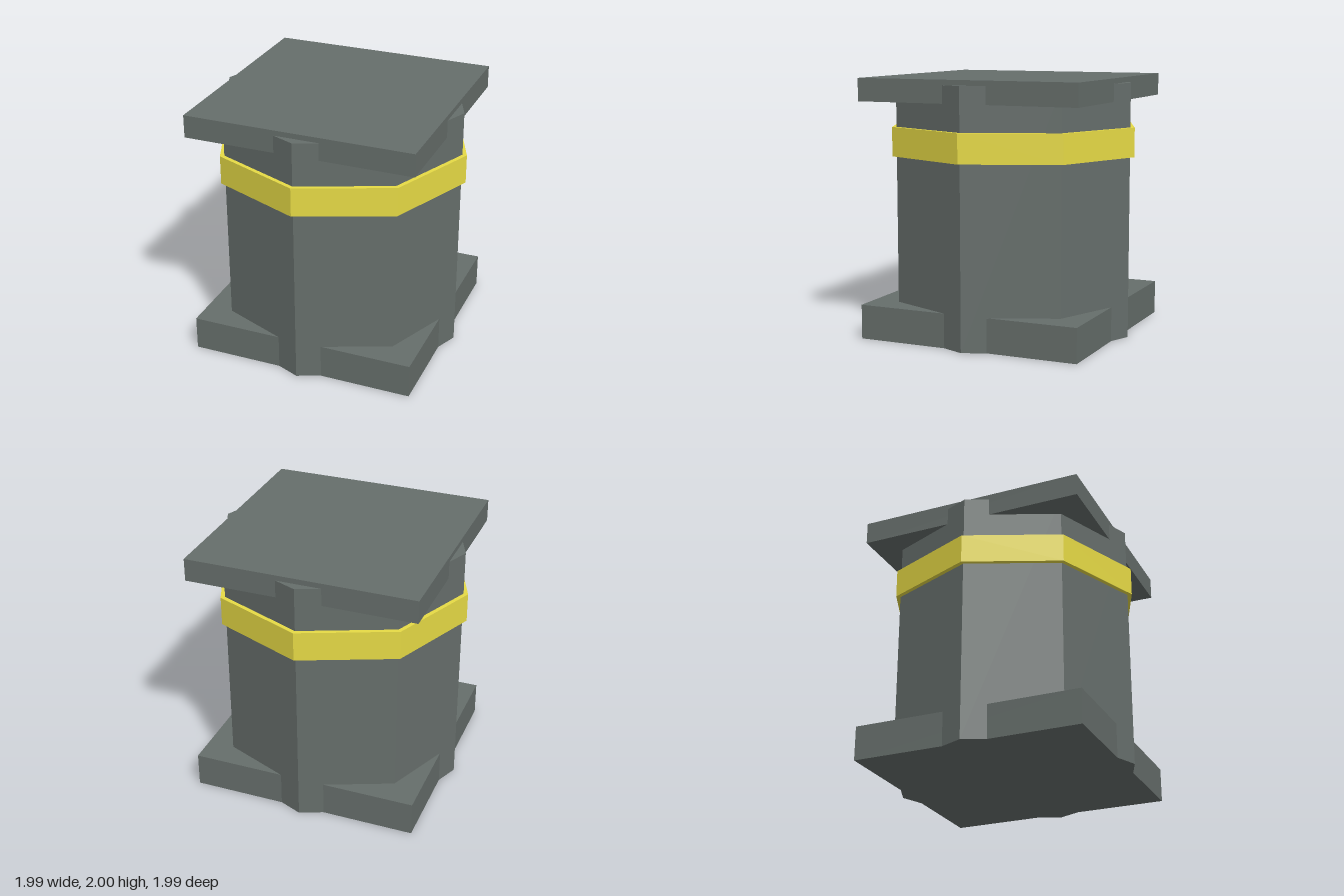
import * as THREE from 'three';

const SIDES = 8;
const stone = new THREE.MeshStandardMaterial({ color: 0x666e6b, flatShading: true });
const yellow = new THREE.MeshStandardMaterial({ color: 0xe6da45, flatShading: true });

export function createModel() {
  const model = new THREE.Group();
  model.name = 'pedestal';

  const add = (name, geometry, material, y) => {
    const mesh = new THREE.Mesh(geometry, material);
    mesh.name = name;
    mesh.position.y = y;
    model.add(mesh);
  };

  // Square slab spanning two heights
  const slab = (name, bottom, top) =>
    add(name, new THREE.BoxGeometry(1.775, top - bottom, 1.775), stone, (bottom + top) / 2);

  slab('basePlate', 0, 0.265);
  slab('topPlate', 1.825, 2);

  // Octagonal column whose corners poke out past the plates
  add('column', new THREE.CylinderGeometry(0.96, 0.96, 1.96, SIDES), stone, 0.98);

  // Octagonal band around the upper column
  const section = [[0.95, 0], [0.995, 0], [0.995, 0.225], [0.95, 0.225]]
    .map(([r, y]) => new THREE.Vector2(r, y));
  add('band', new THREE.LatheGeometry(section, SIDES), yellow, 1.4);

  return model;
}
